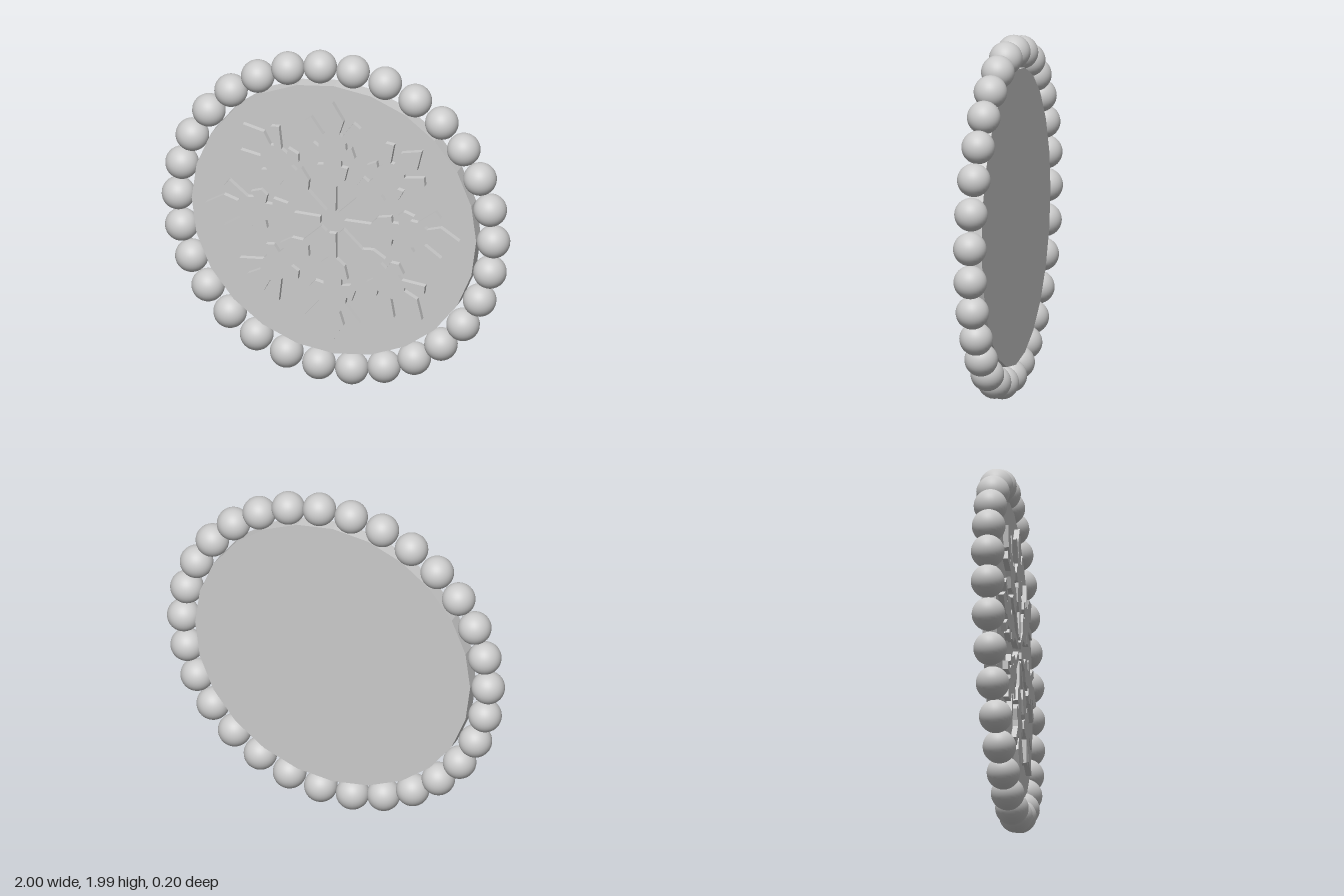
import * as THREE from 'three';

const BEADS = 30, ARMS = 8, CENTER_Y = 1;

export function createModel() {
  const group = new THREE.Group();
  const smooth = new THREE.MeshStandardMaterial({ color: 0xcccccc });
  const flat = new THREE.MeshStandardMaterial({ color: 0xcccccc, flatShading: true });

  // Backing disc, facing +z
  const back = -0.045, front = 0.035;
  const discGeo = new THREE.CylinderGeometry(0.82, 0.82, front - back, 24);
  discGeo.rotateX(Math.PI / 2);
  const disc = new THREE.Mesh(discGeo, flat);
  disc.name = 'disc';
  disc.position.set(0, CENTER_Y, (front + back) / 2);
  group.add(disc);

  // One half of a snowflake arm: [distance from the axis, distance from the hub]
  const half = [
    [0.02, 0.07], [0.022, 0.22], [0.07, 0.26], [0.088, 0.34], [0.05, 0.345],
    [0.05, 0.385], [0.1, 0.375], [0.13, 0.41], [0.11, 0.47], [0.08, 0.45],
    [0.075, 0.49], [0.16, 0.595], [0.122, 0.625], [0.055, 0.53], [0.04, 0.545],
    [0.065, 0.625], [0, 0.73],
  ];
  const mirrored = half.slice(0, -1).reverse().map(([x, y]) => [-x, y]);
  const armShape = new THREE.Shape([...half, ...mirrored].map(([x, y]) => new THREE.Vector2(x, y)));
  const armGeo = new THREE.ExtrudeGeometry(armShape, { depth: 0.035, bevelEnabled: false });

  // Raised snowflake relief
  const snowflake = new THREE.Group();
  snowflake.name = 'snowflake';
  snowflake.position.set(0, CENTER_Y, front - 0.005);
  for (let i = 0; i < ARMS; i++) {
    const arm = new THREE.Mesh(armGeo, flat);
    arm.name = 'snowflakeArm';
    arm.rotation.z = (i / ARMS) * Math.PI * 2;
    snowflake.add(arm);
  }
  group.add(snowflake);

  // Ring of beads around the rim, leaning back very slightly at the top
  const beadGeo = new THREE.SphereGeometry(0.092, 32, 20);
  const ring = new THREE.Group();
  ring.name = 'beadRing';
  ring.position.y = CENTER_Y;
  for (let i = 0; i < BEADS; i++) {
    const a = (i / BEADS) * Math.PI * 2;
    const bead = new THREE.Mesh(beadGeo, smooth);
    bead.name = 'bead';
    bead.position.set(Math.cos(a) * 0.908, Math.sin(a) * 0.908, -0.01 * Math.sin(a));
    ring.add(bead);
  }
  group.add(ring);

  return group;
}
